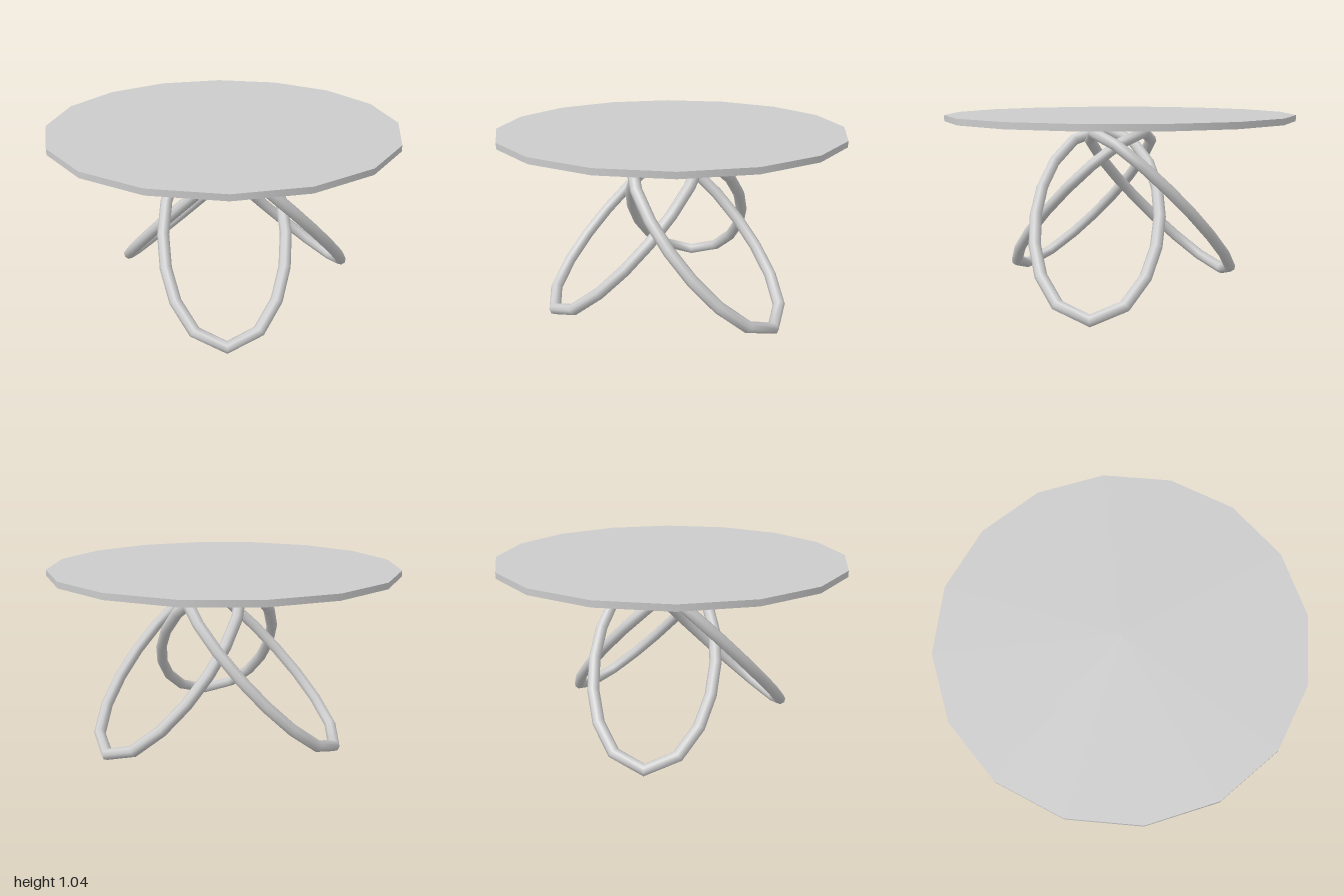
import * as THREE from 'three';

const material = new THREE.MeshStandardMaterial({ color: 0xcccccc, side: THREE.DoubleSide });

// Sixteen-sided slab between two heights
function disc(name, radius, bottom, top) {
  const mesh = new THREE.Mesh(new THREE.CylinderGeometry(radius, radius, top - bottom, 16), material);
  mesh.position.y = (bottom + top) / 2;
  mesh.name = name;
  return mesh;
}

// Oval tube ring leaning at 45 degrees, its foot towards +z
function ovalRing() {
  const halfWidth = 0.345, halfRun = 0.45, halfRise = 0.45;
  const points = [];
  for (let i = 0; i < 16; i++) {
    const a = (i / 16) * Math.PI * 2;
    points.push(new THREE.Vector3(halfWidth * Math.sin(a), -halfRise * Math.cos(a), halfRun * Math.cos(a)));
  }
  const curve = new THREE.CatmullRomCurve3(points, true);
  return new THREE.TubeGeometry(curve, 16, 0.034, 8, true);
}

export function createModel() {
  const table = new THREE.Group();
  table.name = 'table';

  // Top and the mounting plate beneath it
  table.add(disc('tabletop', 1, 1.003, 1.037));
  table.add(disc('mountingPlate', 0.49, 0.973, 1.003));

  // Three interlocking rings, a third of a turn apart
  const geometry = ovalRing();
  const rings = [
    ['frontRingLeg', 0, 0.283, 0],
    ['leftRingLeg', 0.328, -0.065, 1],
    ['rightRingLeg', -0.178, -0.182, 2],
  ];
  for (const [name, x, z, turn] of rings) {
    const ring = new THREE.Mesh(geometry, material);
    ring.name = name;
    ring.position.set(x, 0.486, z);
    ring.rotation.y = (turn * Math.PI * 2) / 3;
    table.add(ring);
  }
  return table;
}
